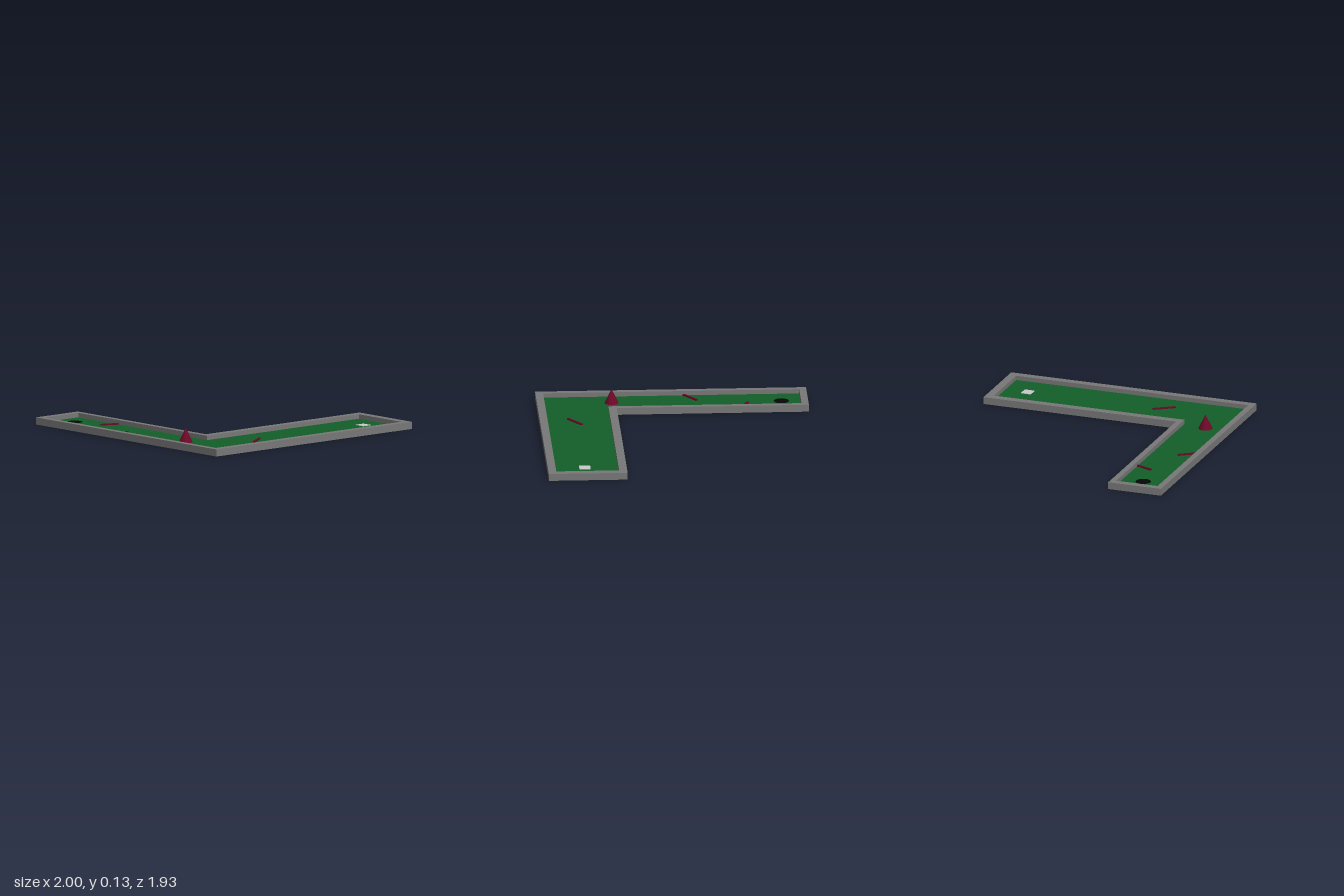
import * as THREE from 'three';

const FLOOR = 0.02, WALL = 0.053;
const HOLE = { x: -0.806, z: 0.753, r: 0.056 };

// L-shaped outline in plan; the shape's y is -z
const corners = (left, inX, right, back, inZ, front) => [
  [left, inZ], [inX, inZ], [inX, back], [right, back], [right, front], [left, front],
].map(([x, z]) => new THREE.Vector2(x, -z));

export function createModel() {
  const group = new THREE.Group();
  group.name = 'miniGolfLane';
  const mat = (color) => new THREE.MeshStandardMaterial({ color });
  const grey = mat(0x787878), green = mat(0x14602a), red = mat(0x6c0828);
  const black = mat(0x060606), light = mat(0xcccccc);

  const add = (name, geometry, material, x = 0, y = 0, z = 0) => {
    const mesh = new THREE.Mesh(geometry, material);
    mesh.name = name;
    mesh.position.set(x, y, z);
    group.add(mesh);
    return mesh;
  };
  const slab = (name, points, hole, y, height, material) => {
    const shape = new THREE.Shape(points);
    shape.holes.push(hole);
    const geo = new THREE.ExtrudeGeometry(shape, { depth: height, bevelEnabled: false, curveSegments: 32 });
    geo.rotateX(-Math.PI / 2);
    add(name, geo, material, 0, y, 0);
  };

  // Outlines run clockwise, holes counter-clockwise
  const outer = corners(-1, 0.418, 1, -0.967, 0.55, 0.965);
  const inner = corners(-0.947, 0.478, 0.942, -0.907, 0.593, 0.92);
  const opening = new THREE.Path([...inner].reverse());
  const cup = new THREE.Path().absarc(HOLE.x, -HOLE.z, HOLE.r, 0, Math.PI * 2);

  // Rim, underside and playing surface
  slab('borderWall', outer, opening, 0, WALL, grey);
  slab('base', inner, cup, 0, 0.008, grey);
  slab('greenFloor', inner, cup, 0.008, FLOOR - 0.008, green);

  // Cup, tee mat and cone obstacle
  add('cup', new THREE.CylinderGeometry(HOLE.r, HOLE.r, FLOOR + 0.001, 32), black, HOLE.x, (FLOOR + 0.001) / 2, HOLE.z);
  add('teeMat', new THREE.BoxGeometry(0.083, 0.004, 0.078), light, 0.722, FLOOR + 0.001, -0.732);
  add('coneObstacle', new THREE.ConeGeometry(0.052, 0.107, 32), red, 0.445, FLOOR + 0.0535, 0.772);

  // Low bars lying on the floor, given by their end points
  [
    [0.69, 0.265, 0.788, 0.406],
    [-0.503, 0.593, -0.557, 0.72],
    [-0.186, 0.79, -0.092, 0.922],
  ].forEach(([x1, z1, x2, z2], i) => {
    const length = Math.hypot(x2 - x1, z2 - z1);
    const bar = add('barObstacle' + (i + 1), new THREE.BoxGeometry(length, 0.01, 0.018), red,
      (x1 + x2) / 2, FLOOR + 0.005, (z1 + z2) / 2);
    bar.rotation.y = -Math.atan2(z2 - z1, x2 - x1);
  });

  return group;
}
